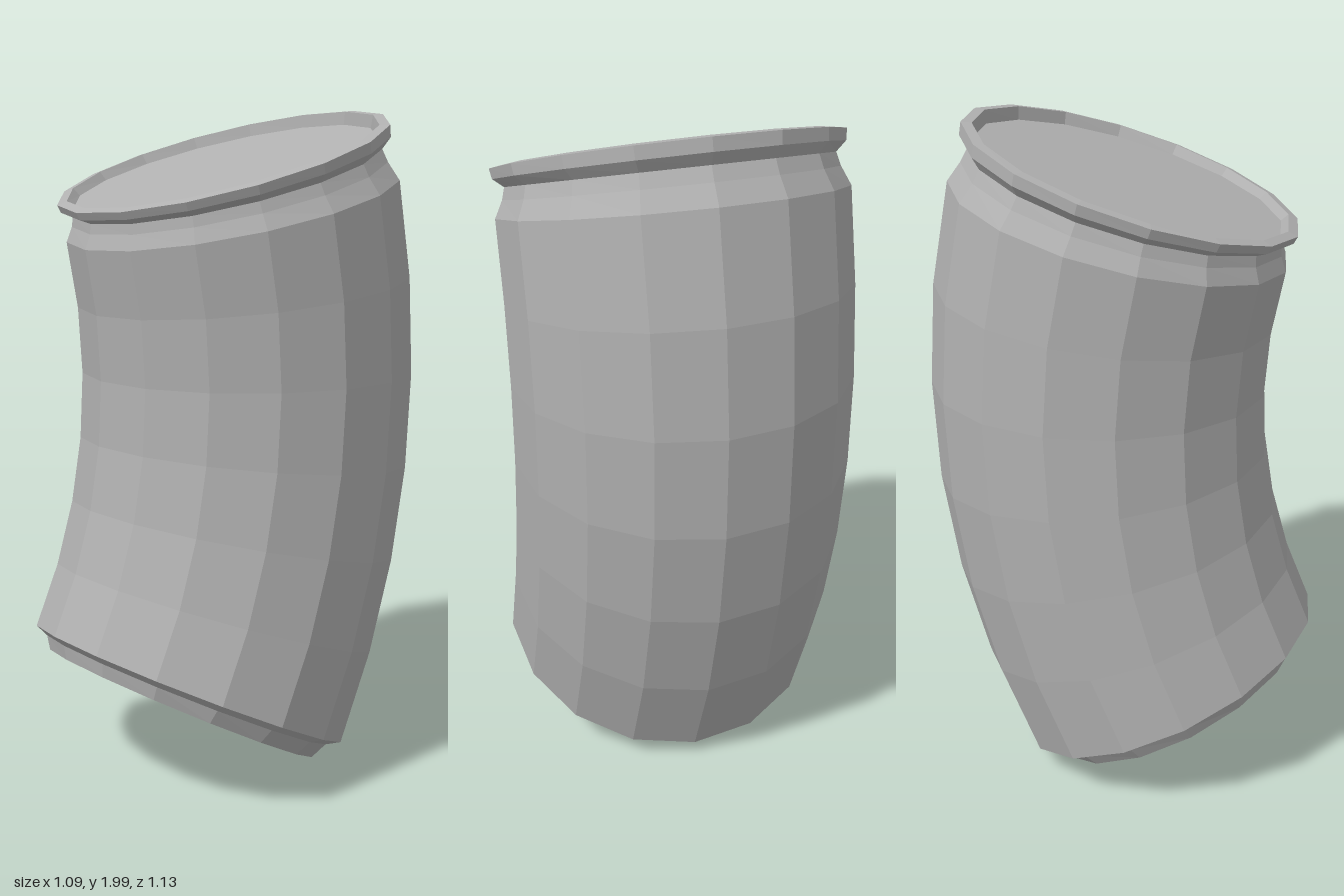
import * as THREE from 'three';

const SIDES = 16;
const RADIUS = 2.11;   // radius of the bend
const LENGTH = 1.625;  // arc length from foot to rim

// Frame at the middle of the bend: axis, bulge direction and bend hinge
const middle = new THREE.Vector3(0.043, 1.05, -0.07);
const axis = new THREE.Vector3(0.045, 0.997, -0.06).normalize();
const bulge = new THREE.Vector3(0.475, 0, -0.88).projectOnPlane(axis).normalize();
const hinge = new THREE.Vector3().crossVectors(axis, bulge);
const across = new THREE.Vector3(1, 0, 0).projectOnPlane(axis).normalize();
const forward = new THREE.Vector3().crossVectors(across, axis);

// Curves a straight upright solid along the arc
function bend(geometry) {
  const pos = geometry.attributes.position;
  const o = new THREE.Vector3(), p = new THREE.Vector3();
  for (let i = 0; i < pos.count; i++) {
    o.set(0, 0, 0).addScaledVector(across, pos.getX(i)).addScaledVector(forward, pos.getZ(i));
    const angle = (pos.getY(i) - LENGTH / 2) / RADIUS;
    const reach = RADIUS + o.dot(bulge);
    p.copy(middle)
      .addScaledVector(axis, reach * Math.sin(angle))
      .addScaledVector(bulge, reach * Math.cos(angle) - RADIUS)
      .addScaledVector(hinge, o.dot(hinge));
    pos.setXYZ(i, p.x, p.y, p.z);
  }
  geometry.computeVertexNormals();
  return geometry;
}

export function createModel() {
  const group = new THREE.Group();
  group.name = 'bentPipe';
  const grey = new THREE.MeshStandardMaterial({ color: 0xb0b0b0, flatShading: true });
  grey.name = 'grey';

  // Each profile point is [radius, distance along the axis]
  function part(name, profile) {
    const points = profile.map(([r, s]) => new THREE.Vector2(r, s));
    const mesh = new THREE.Mesh(bend(new THREE.LatheGeometry(points, SIDES, Math.PI / SIDES)), grey);
    mesh.name = name;
    group.add(mesh);
  }

  // Main tube in six even sections
  const bodyEnd = LENGTH - 0.14;
  part('body', Array.from({ length: 7 }, (_, i) => [0.5, bodyEnd * i / 6]));

  // Shallow dish and stepped lip at the foot
  part('footDish', [[0, -0.03], [0.31, -0.03], [0.435, -0.065]]);
  part('footLip', [[0.435, -0.065], [0.46, -0.02], [0.5, 0]]);

  // Shoulder and groove below the rim
  part('neck', [[0.5, bodyEnd], [0.475, LENGTH - 0.09], [0.465, LENGTH - 0.055]]);

  // Raised rim around a slightly sunken lid
  part('rim', [[0.465, LENGTH - 0.055], [0.495, LENGTH - 0.03], [0.5, LENGTH],
    [0.47, LENGTH + 0.005], [0.455, LENGTH - 0.025]]);
  part('lid', [[0.455, LENGTH - 0.025], [0, LENGTH - 0.025]]);

  return group;
}
